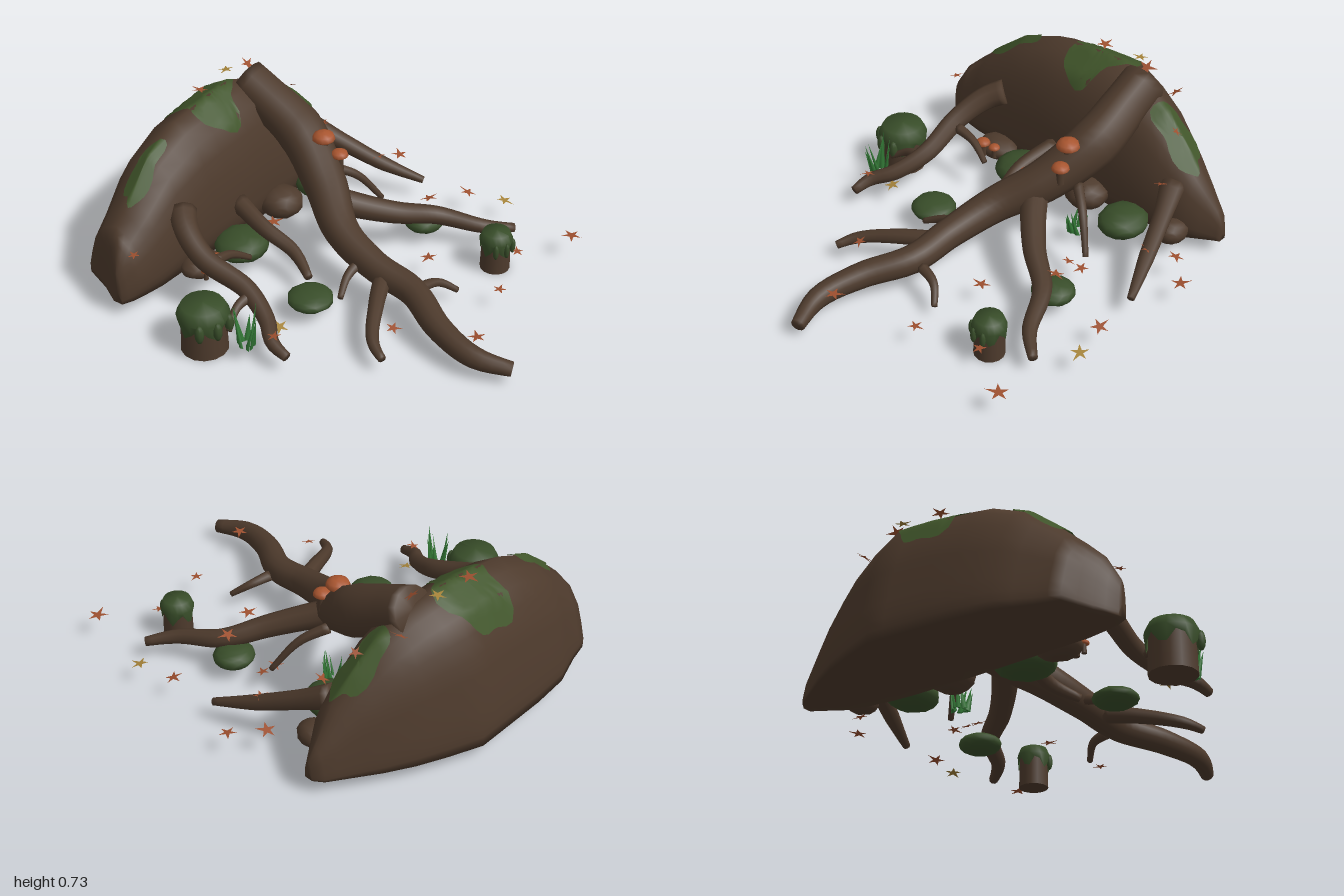
import * as THREE from 'three';
import { mergeVertices } from 'three/addons/utils/BufferGeometryUtils.js';

const V = (a) => new THREE.Vector3(...a);
const mat = (name, color, extra = {}) => {
  const m = new THREE.MeshStandardMaterial({ color, ...extra });
  m.name = name;
  return m;
};
const two = { side: THREE.DoubleSide };

export function createModel() {
  const group = new THREE.Group();
  const bark = mat('bark', 0x4d3a2c);
  const moss = mat('moss', 0x40552a, two);
  const darkMoss = mat('dark moss', 0x384d29, two);
  const grass = mat('grass', 0x347a37, two);
  const cap = mat('mushroom cap', 0xa8552f);
  const rust = mat('rust leaf', 0x9c4f2f, two);
  const gold = mat('gold leaf', 0xa5833a, two);

  const add = (name, geo, material, pos = [0, 0, 0], parent = group) => {
    const m = new THREE.Mesh(geo, material);
    m.name = name;
    m.position.set(...pos);
    parent.add(m);
    return m;
  };
  const build = (pts, index) => {
    const g = new THREE.BufferGeometry();
    g.setAttribute('position', new THREE.Float32BufferAttribute(pts.flatMap((p) => p.toArray()), 3));
    g.setIndex(index);
    g.computeVertexNormals();
    return g;
  };

  // Earth mound: stations [x, top, front z, back z] carry one profile [depth, height]
  const base = 0.065;
  const stations = [
    [-0.8, 0.22, -0.59, -0.64], [-0.75, 0.32, -0.56, -0.73], [-0.7, 0.37, -0.54, -0.86],
    [-0.6, 0.46, -0.52, -0.89], [-0.45, 0.58, -0.51, -0.95], [-0.27, 0.655, -0.5, -0.975],
    [-0.05, 0.68, -0.49, -0.99], [0.1, 0.685, -0.49, -1], [0.25, 0.64, -0.49, -0.95],
    [0.38, 0.57, -0.5, -0.9], [0.5, 0.46, -0.52, -0.84], [0.6, 0.35, -0.55, -0.78],
    [0.7, 0.21, -0.62, -0.72], [0.73, 0.15, -0.64, -0.68]];
  const profile = [[0.06, 0], [0, 0.22], [0.06, 0.58], [0.2, 0.86], [0.45, 1],
    [0.7, 0.88], [0.86, 0.64], [0.94, 0.38], [1, 0.14], [1, 0], [0.06, 0]];
  const mix = (a, b, f) => a.map((v, i) => v + (b[i] - v) * f);
  const surf = (x, t) => {
    let i = 0;
    while (i < stations.length - 2 && x > stations[i + 1][0]) i++;
    const s = mix(stations[i], stations[i + 1], (x - stations[i][0]) / (stations[i + 1][0] - stations[i][0]));
    const j = Math.min(Math.floor(t), 9);
    const [u, v] = mix(profile[j], profile[j + 1], t - j);
    return new THREE.Vector3(x, base + (s[1] - base) * v, s[2] + (s[3] - s[2]) * u);
  };
  const xs = [];
  stations.forEach((s, i) => {
    if (i) xs.push((s[0] + stations[i - 1][0]) / 2);
    xs.push(s[0]);
  });
  const pts = [], idx = [], n = 20;
  xs.forEach((x) => { for (let j = 0; j < n; j++) pts.push(surf(x, j / 2)); });
  const last = (xs.length - 1) * n;
  for (let i = 0; i < last; i += n) for (let j = 0; j < n; j++) {
    const k = (j + 1) % n;
    idx.push(i + j, i + n + j, i + k, i + n + j, i + n + k, i + k);
  }
  pts.push(new THREE.Vector3(-0.8, 0.12, -0.615), new THREE.Vector3(0.73, 0.1, -0.66));
  for (let j = 0; j < n; j++) {
    const k = (j + 1) % n;
    idx.push(last + n, j, k, last + n + 1, last + k, last + j);
  }
  add('mound', build(pts, idx), bark);

  // Thin moss patches following the mound surface
  const patch = (x, t, rx, rt, seed) => {
    const p = [], f = [], rings = 7, segs = 28;
    for (let r = 0; r <= rings; r++) for (let s = 0; s < segs; s++) {
      const a = (s / segs) * Math.PI * 2;
      const w = (r / rings) * (1 + 0.14 * Math.sin(3 * a + seed) + 0.1 * Math.sin(5 * a + seed * 2));
      const px = x + rx * w * Math.cos(a), pt = t + rt * w * Math.sin(a);
      const q = surf(px, pt);
      const nx = surf(px + 0.03, pt).sub(surf(px - 0.03, pt));
      const nt = surf(px, pt + 0.15).sub(surf(px, pt - 0.15));
      p.push(q.addScaledVector(nx.cross(nt).normalize(), 0.006));
      if (r < rings) {
        const i = r * segs + s, k = r * segs + ((s + 1) % segs);
        f.push(i, i + segs, k, i + segs, k + segs, k);
      }
    }
    add('mossPatch', build(p, f), moss);
  };
  patch(-0.04, 4.35, 0.15, 1.5, 1);
  patch(-0.5, 4, 0.13, 0.5, 2);
  patch(0.46, 3.9, 0.13, 0.85, 4);

  // Roots: tubes whose radius follows the last number of each point
  const root = (name, path, sides = 9) => {
    const curve = new THREE.CatmullRomCurve3(path.map((p) => V(p.slice(0, 3))));
    const segs = path.length * 5, ring = sides + 1;
    const g = new THREE.TubeGeometry(curve, segs, 1, sides);
    const pos = g.attributes.position, v = new THREE.Vector3();
    for (let i = 0; i <= segs; i++) {
      const e = Math.min(Math.max(i, 1), segs - 1);
      const c = curve.getPointAt(i / segs), flat = curve.getPointAt(e / segs);
      const f = curve.getUtoTmapping(i / segs) * (path.length - 1);
      const j = Math.min(Math.floor(f), path.length - 2);
      const r = path[j][3] + (path[j + 1][3] - path[j][3]) * (f - j);
      for (let k = 0; k < ring; k++) {
        v.fromBufferAttribute(pos, i * ring + k).sub(c).multiplyScalar(i === e ? r : 0).add(flat);
        pos.setXYZ(i * ring + k, v.x, v.y, v.z);
      }
    }
    g.deleteAttribute('uv');
    g.deleteAttribute('normal');
    const m = mergeVertices(g);
    m.computeVertexNormals();
    return add(name, m, bark);
  };
  root('trunkRoot', [[0.22, 0.65, -0.75, 0.1], [0.22, 0.58, -0.6, 0.1], [0.21, 0.47, -0.4, 0.11], [0.11, 0.33, -0.2, 0.095],
    [-0.02, 0.23, -0.02, 0.078], [-0.08, 0.17, 0.2, 0.066], [-0.1, 0.14, 0.4, 0.062], [-0.21, 0.11, 0.6, 0.056],
    [-0.26, 0.085, 0.8, 0.046], [-0.2, 0.06, 0.99, 0.027]], 12);
  root('leftRoot', [[-0.42, 0.37, -0.56, 0.06], [-0.5, 0.33, -0.48, 0.055], [-0.55, 0.26, -0.34, 0.048],
    [-0.54, 0.19, -0.13, 0.042], [-0.6, 0.13, 0.02, 0.036], [-0.67, 0.1, 0.1, 0.03], [-0.69, 0.07, 0.21, 0.018]]);
  root('innerRoot', [[-0.1, 0.24, -0.54, 0.045], [-0.15, 0.19, -0.34, 0.036], [-0.15, 0.13, -0.18, 0.03], [-0.23, 0.08, -0.03, 0.016]]);
  root('rightRoot', [[0.5, 0.31, -0.6, 0.06], [0.56, 0.24, -0.45, 0.042], [0.63, 0.15, -0.25, 0.034], [0.71, 0.08, -0.04, 0.014]]);
  root('forkRoot', [[0.08, 0.29, -0.18, 0.06], [0.15, 0.25, -0.08, 0.058], [0.28, 0.19, 0.06, 0.05],
    [0.43, 0.14, 0.18, 0.042], [0.53, 0.1, 0.37, 0.032], [0.65, 0.07, 0.48, 0.018]]);
  root('sideRoot', [[-0.1, 0.15, 0.25, 0.04], [-0.25, 0.13, 0.32, 0.034], [-0.42, 0.09, 0.42, 0.026], [-0.48, 0.065, 0.52, 0.015]]);
  [[[0.22, 0.34, -0.28], [0.33, 0.27, -0.19], [0.43, 0.11, -0.1]],
    [[-0.08, 0.18, 0.13], [-0.18, 0.15, 0.125], [-0.29, 0.1, 0.16]],
    [[-0.06, 0.13, 0.4], [0.05, 0.11, 0.43], [0.12, 0.05, 0.5]],
    [[-0.53, 0.25, -0.31], [-0.42, 0.22, -0.31], [-0.31, 0.15, -0.28]],
    [[-0.54, 0.18, -0.1], [-0.63, 0.16, -0.11], [-0.73, 0.1, -0.08]],
  ].forEach((p) => root('rootlet', p.map((q, i) => [...q, 0.026 - i * 0.007]), 7));

  // Low-poly rocks, mossy and bare
  const rock = (name, m, pos, scale, turn) => {
    const b = add(name, new THREE.DodecahedronGeometry(1, 1), m, pos);
    b.scale.set(...scale);
    b.rotation.y = turn;
  };
  rock('mossyRock', darkMoss, [-0.21, 0.11, -0.42], [0.13, 0.06, 0.12], 0.4);
  rock('mossyRock', darkMoss, [0.37, 0.12, -0.42], [0.11, 0.06, 0.12], 0);
  rock('mossyRock', darkMoss, [-0.33, 0.09, 0.04], [0.1, 0.04, 0.1], 1);
  rock('mossyRock', darkMoss, [0.43, 0.09, 0.11], [0.09, 0.045, 0.095], 2);
  rock('bareRock', bark, [-0.42, 0.1, -0.48], [0.1, 0.05, 0.08], 0);
  rock('bareRock', bark, [0.13, 0.13, -0.46], [0.1, 0.07, 0.1], 1);
  rock('bareRock', bark, [0.56, 0.11, -0.52], [0.07, 0.055, 0.08], 0);
  const trunkMoss = add('trunkMoss', new THREE.SphereGeometry(1, 12, 8), moss, [0.22, 0.64, -0.55]);
  trunkMoss.scale.set(0.05, 0.02, 0.08);
  trunkMoss.rotation.x = 0.5;

  // Stumps with draped moss caps
  const stump = (x, z, r, h) => {
    const s = new THREE.Group();
    s.name = 'stump';
    s.position.set(x, 0, z);
    group.add(s);
    add('stumpTrunk', new THREE.CylinderGeometry(r * 0.93, r, h, 14), bark, [0, h / 2, 0], s);
    const shape = [[r * 1.03, h * 0.62], [r * 1.12, h * 0.88], [r * 0.9, h * 1.1], [0, h * 1.14]];
    const g = new THREE.LatheGeometry(shape.map((p) => new THREE.Vector2(...p)), 18);
    const p = g.attributes.position;
    for (let i = 0; i < p.count; i += 4) {
      const a = Math.atan2(p.getZ(i), p.getX(i));
      p.setY(i, h * (0.64 + 0.16 * Math.sin(5 * a + 1)));
    }
    g.computeVertexNormals();
    add('mossCap', g, darkMoss, [0, 0, 0], s);
    // hanging moss strands
    [1.2, 1.9, 2.6].forEach((a) => {
      const strand = add('mossStrand', new THREE.SphereGeometry(1, 8, 6), darkMoss,
        [Math.cos(a) * r * 1.1, h * 0.72, Math.sin(a) * r * 1.1], s);
      strand.scale.set(r * 0.2, h * 0.22, r * 0.2);
    });
  };
  stump(-0.75, -0.19, 0.1, 0.2);
  stump(0.42, 0.49, 0.066, 0.17);

  // Grass tufts
  const tuft = (x, z, h) => {
    for (let i = 0; i < 8; i++) {
      const len = h * (0.65 + 0.35 * Math.abs(Math.sin(i * 2.3 + 1)));
      const g = new THREE.ConeGeometry(0.016, len, 4);
      g.scale(1, 1, 0.4);
      g.translate(0, len / 2, 0);
      const b = add('grassBlade', g, grass, [x + 0.03 * Math.cos(i * 2.4), 0.07, z + 0.03 * Math.sin(i * 2.4)]);
      b.rotation.set(0.22 * Math.sin(i * 2.4), i * 1.1, -0.22 * Math.cos(i * 2.4));
    }
  };
  tuft(-0.71, 0, 0.19);
  tuft(0.23, -0.28, 0.13);

  // Mushrooms: position is the rim centre of the cap
  const capShape = [[0, -0.15], [0.8, -0.2], [1, 0], [0.85, 0.38], [0.45, 0.6], [0, 0.66]].map((p) => new THREE.Vector2(...p));
  [[0.18, 0.51, -0.26, 0.052], [0.2, 0.44, -0.19, 0.04], [0.16, 0.5, -0.33, 0.03],
    [-0.44, 0.15, -0.4, 0.034], [-0.385, 0.14, -0.415, 0.027], [-0.48, 0.13, -0.4, 0.022]].forEach(([x, y, z, r]) => {
    add('mushroomCap', new THREE.LatheGeometry(capShape, 12), cap, [x, y, z]).scale.setScalar(r);
    add('mushroomStem', new THREE.CylinderGeometry(r * 0.4, r * 0.5, r * 1.8, 8), bark, [x, y - r, z]);
  });

  // Fallen star leaves: x, y, z, then size factor and colour flag
  const star = new THREE.Shape();
  for (let i = 0; i < 10; i++) {
    const a = Math.PI / 2 + (i * Math.PI) / 5, r = i % 2 ? 0.014 : i === 0 ? 0.05 : 0.04;
    star[i ? 'lineTo' : 'moveTo'](Math.cos(a) * r, Math.sin(a) * r);
  }
  star.closePath();
  const leafGeo = new THREE.ShapeGeometry(star).rotateX(-Math.PI / 2);
  [[-0.04, 0.69, -0.76], [0.15, 0.7, -0.77, 0.9, 1], [0.35, 0.61, -0.77], [0.23, 0.71, -0.71], [0.46, 0.52, -0.64, 0.7],
    [0.5, 0.34, -0.5, 0.9], [0.69, 0.12, -0.38], [0.8, 0.105, -0.27], [0.36, 0.1, -0.07, 0.8], [0.43, 0.1, -0.07, 0.8],
    [0.45, 0.2, 0.12], [0.72, 0.1, 0.16], [0.19, 0.1, 0.29], [0.76, 0.1, 0.33, 1, 1], [0.17, 0.1, 0.66, 0.8],
    [0.45, 0.1, 0.58, 0.8], [0.68, 0.11, 0.72, 1.15], [-0.35, 0.14, 0.47, 0.8], [-0.19, 0.13, 0.77], [-0.57, 0.1, 0.06, 1, 1],
    [-0.67, 0.14, 0.11, 0.8], [-0.11, 0.21, -0.32], [-0.75, 0.31, -0.55, 0.7], [0.62, 0.19, -0.27, 0.8],
  ].forEach(([x, y, z, s = 1, yellow], i) => {
    const leaf = add('fallenLeaf', leafGeo, yellow ? gold : rust, [x, y, z]);
    leaf.scale.setScalar(s);
    leaf.rotation.set(0.2 * Math.sin(i * 3), i * 1.7, y > 0.3 ? -0.55 * Math.sign(x + 0.1) * (x > 0.2 ? 1 : 0.3) : 0.2 * Math.cos(i * 2));
  });
  return group;
}
